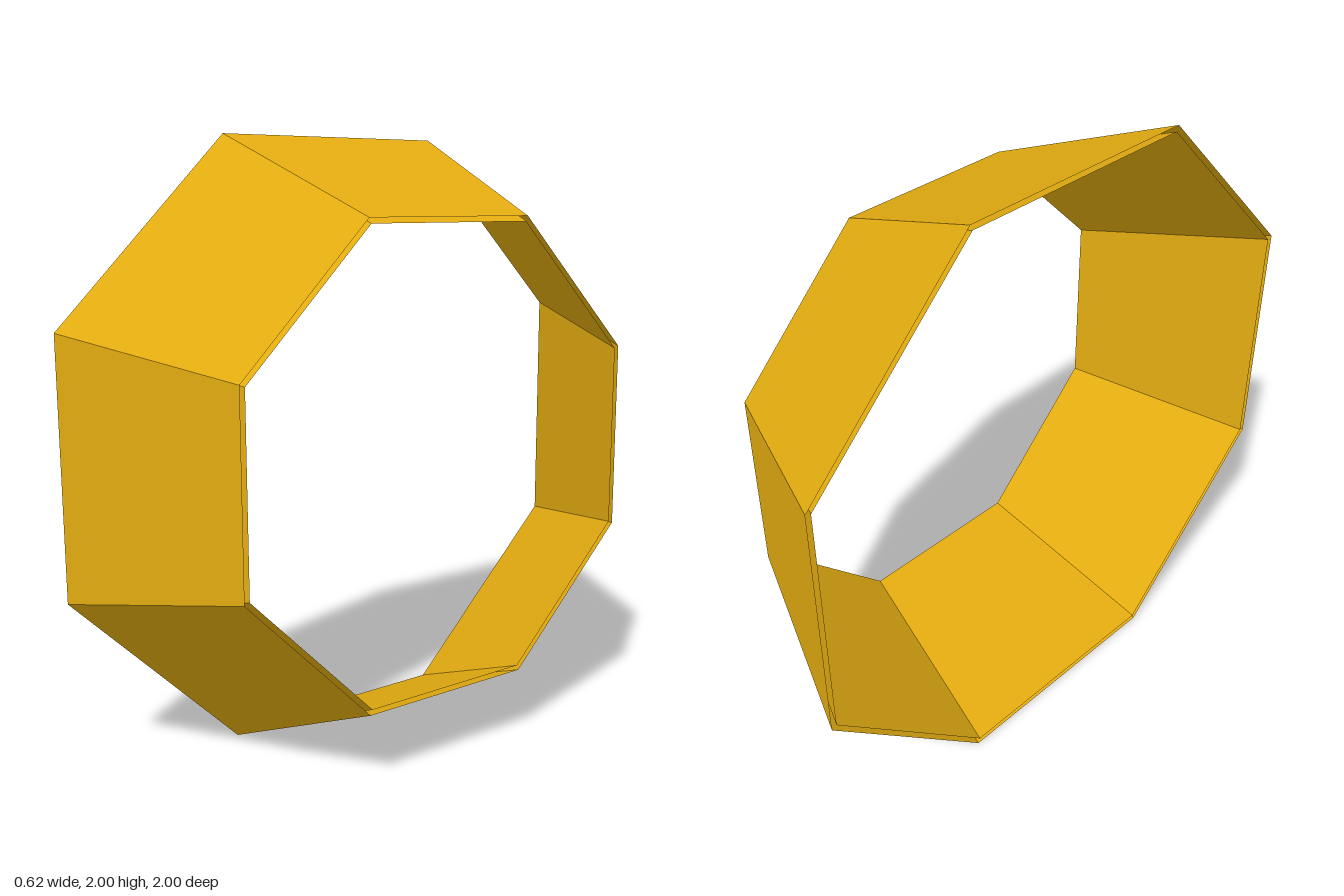
import * as THREE from 'three';

const gold = new THREE.MeshStandardMaterial({ color: 0xe3ac10, flatShading: true, side: THREE.DoubleSide });
gold.name = 'gold';

// Open eight-sided tapered band around the x axis; sizes are centre-to-flat distances
function band(name, wide, narrow) {
  const k = 1 / Math.cos(Math.PI / 8);
  const geo = new THREE.CylinderGeometry(narrow * k, wide * k, 0.618, 8, 1, true, Math.PI / 8);
  geo.rotateZ(-Math.PI / 2);
  const mesh = new THREE.Mesh(geo, gold);
  mesh.name = name;
  mesh.position.y = 1;
  return mesh;
}

export function createModel() {
  const group = new THREE.Group();
  group.name = 'octagonalRing';
  // Outer wall and the lining just inside it
  group.add(band('outerWall', 1, 0.748));
  group.add(band('innerLining', 0.982, 0.731));
  return group;
}
